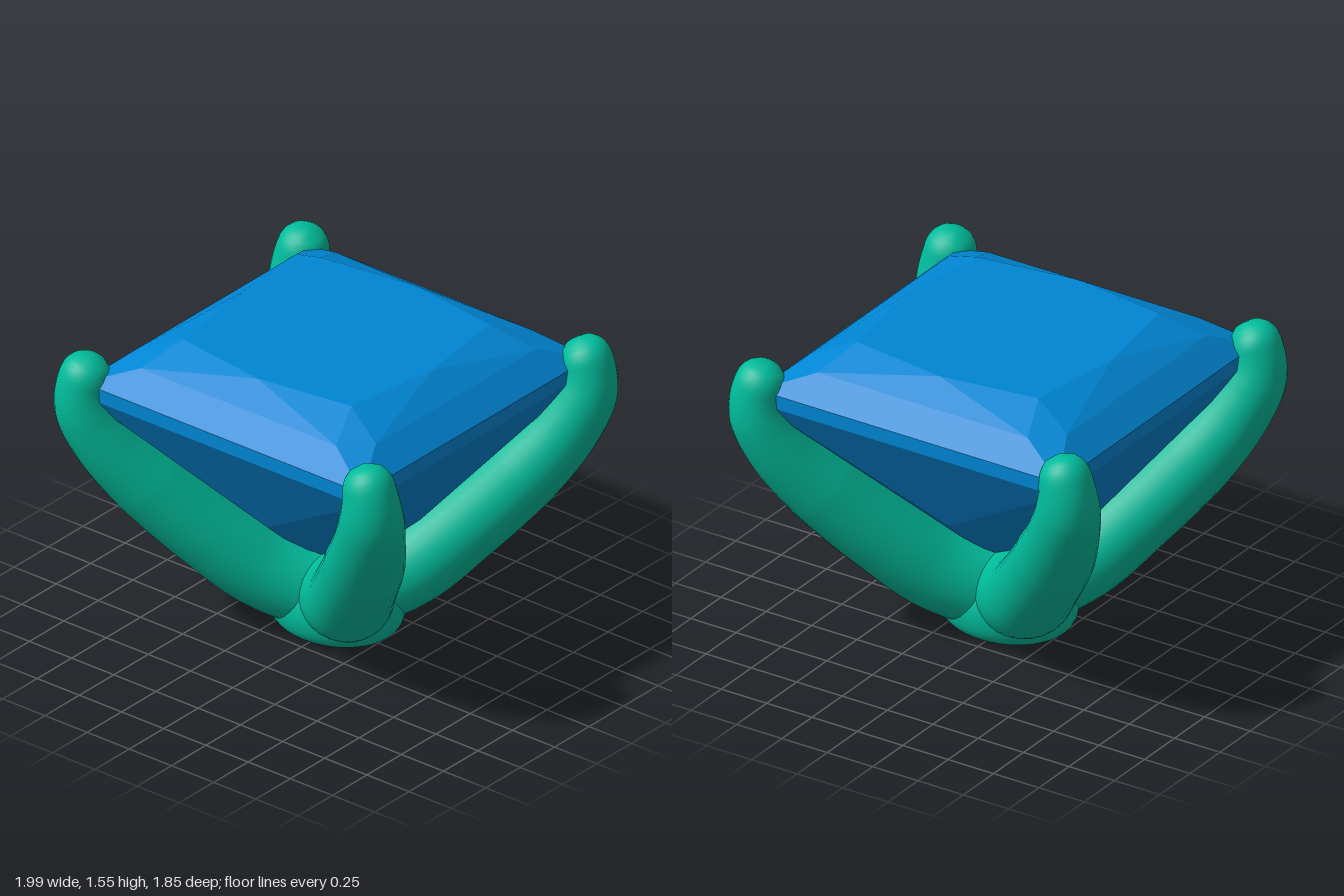
import * as THREE from 'three';
import { mergeVertices } from 'three/addons/utils/BufferGeometryUtils.js';

const gemMaterial = new THREE.MeshStandardMaterial({ color: 0x0086d4, flatShading: true });
const prongMaterial = new THREE.MeshStandardMaterial({ color: 0x00bc9c });

// Square-cut gem: the facets of one side, repeated by quarter turns
function gemGeometry() {
  const v = (x, y, z) => new THREE.Vector3(x, y, z);
  const g = 0.83;
  const tableCentre = v(0, 1.55, 0), tableMid = v(0, 1.55, 0.57);
  const tableL = v(-0.5, 1.55, 0.5), tableR = v(0.5, 1.55, 0.5);
  const crownL = v(-0.58, 1.46, 0.71), crownR = v(0.58, 1.46, 0.71), crownNext = v(0.71, 1.46, 0.58);
  const topL = v(-g, 1.35, g), topR = v(g, 1.35, g);
  const lowL = v(-g, 1.28, g), lowR = v(g, 1.28, g);
  // ridge of the chevron facets, down to the culet
  const ridge = [v(0, 0.74, 0.5), v(0, 0.62, 0.37), v(0, 0.49, 0.2), v(0, 0.36, 0)];
  const facets = [
    tableCentre, tableL, tableMid, tableCentre, tableMid, tableR,
    tableMid, crownL, crownR,
    tableL, crownL, tableMid, tableMid, crownR, tableR,
    crownR, crownNext, tableR,
    topL, topR, crownR, topL, crownR, crownL,
    topR, crownNext, crownR,
    lowL, lowR, topR, lowL, topR, topL,
    lowL, ridge[0], lowR,
  ];
  for (let i = 0; i < 3; i++) {
    facets.push(lowL, ridge[i + 1], ridge[i], lowR, ridge[i], ridge[i + 1]);
  }
  const up = v(0, 1, 0), points = [];
  for (let k = 0; k < 4; k++) {
    for (const p of facets) points.push(p.clone().applyAxisAngle(up, k * Math.PI / 2));
  }
  const geometry = new THREE.BufferGeometry().setFromPoints(points);
  geometry.computeVertexNormals();
  return geometry;
}

// Prong thickness by height
const thickness = [[0.22, 0.21], [0.52, 0.193], [0.81, 0.187], [1.2, 0.15], [1.36, 0.124], [2, 0.1]];
function radiusAt(y) {
  if (y <= thickness[0][0]) return thickness[0][1];
  const i = thickness.findIndex(([h]) => h > y);
  const [y0, r0] = thickness[i - 1], [y1, r1] = thickness[i];
  return THREE.MathUtils.mapLinear(y, y0, y1, r0, r1);
}

// Tapered tube with a rounded tip, bending up from the hub to one corner
function prongGeometry(sx, sz) {
  const path = [
    [0, 0.22, 0], [0.11, 0.25, 0.09], [0.26, 0.34, 0.22], [0.43, 0.53, 0.385], [0.645, 0.81, 0.58],
    [0.775, 1.02, 0.705], [0.845, 1.2, 0.775], [0.845, 1.34, 0.79], [0.8, 1.475, 0.775],
  ];
  const curve = new THREE.CatmullRomCurve3(path.map(([x, y, z]) => new THREE.Vector3(x * sx, y, z * sz)));
  const rings = 80, sides = 28, length = curve.getLength();
  const tube = new THREE.TubeGeometry(curve, rings, 1, sides);
  const pos = tube.attributes.position, p = new THREE.Vector3();
  for (let i = 0; i <= rings; i++) {
    const centre = curve.getPointAt(i / rings);
    let r = radiusAt(centre.y);
    const d = (1 - i / rings) * length;
    if (d < r) r *= Math.sqrt(Math.max(0, 1 - (1 - d / r) ** 2));
    for (let j = 0; j <= sides; j++) {
      const n = i * (sides + 1) + j;
      p.fromBufferAttribute(pos, n).sub(centre).multiplyScalar(r).add(centre);
      pos.setXYZ(n, p.x, Math.max(0, p.y), p.z);
    }
  }
  tube.deleteAttribute('uv');
  tube.deleteAttribute('normal');
  const geometry = mergeVertices(tube, 1e-4);
  geometry.computeVertexNormals();
  return geometry;
}

// Flat-bottomed rounded hub that fills the valleys where the prongs meet
function hubGeometry() {
  const outline = [
    [0, 0.005], [0.12, 0.005], [0.22, 0.01], [0.3, 0.045], [0.34, 0.11],
    [0.345, 0.2], [0.3, 0.3], [0.2, 0.38], [0, 0.42],
  ];
  const curve = new THREE.SplineCurve(outline.map(([r, y]) => new THREE.Vector2(r, y)));
  const profile = curve.getPoints(32).map((p) => new THREE.Vector2(Math.max(0, p.x), Math.max(0, p.y)));
  return new THREE.LatheGeometry(profile, 40).scale(1, 1, 0.82);
}

export function createModel() {
  const model = new THREE.Group();
  const add = (name, geometry, material) => {
    const mesh = new THREE.Mesh(geometry, material);
    mesh.name = name;
    model.add(mesh);
  };

  add('gem', gemGeometry(), gemMaterial);
  add('hub', hubGeometry(), prongMaterial);
  for (const [zName, sz] of [['front', 1], ['back', -1]]) {
    for (const [xName, sx] of [['Left', 1], ['Right', -1]]) {
      add(`${zName}${xName}Prong`, prongGeometry(sx, sz), prongMaterial);
    }
  }
  return model;
}
